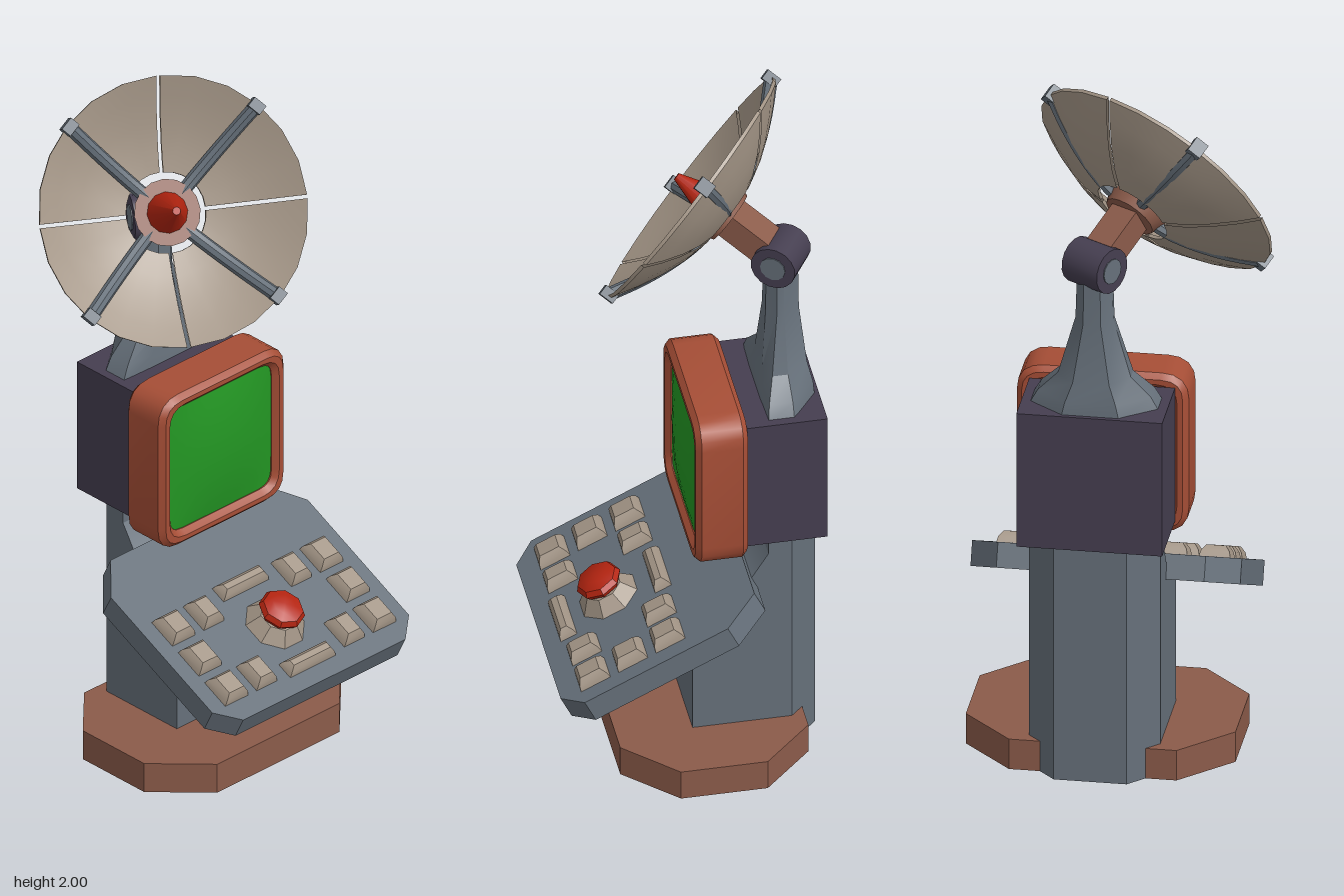
import * as THREE from 'three';
import { toCreasedNormals } from 'three/addons/utils/BufferGeometryUtils.js';

const CX = 0.05; // centre line of the console

function paint(name, color, side = THREE.FrontSide) {
  const m = new THREE.MeshStandardMaterial({ color, side });
  m.name = name;
  return m;
}

function add(parent, name, geo, mat, x = 0, y = 0, z = 0) {
  const mesh = new THREE.Mesh(toCreasedNormals(geo, 0.5), mat);
  mesh.name = name;
  mesh.position.set(x, y, z);
  parent.add(mesh);
  return mesh;
}

// Outline given as right-half (x, z) points from back to front, mirrored and raised by h
function slab(half, h) {
  const pts = [...half, ...half.map(([x, z]) => [-x, z]).reverse()];
  const shape = new THREE.Shape(pts.map(([x, z]) => new THREE.Vector2(x, -z)));
  return new THREE.ExtrudeGeometry(shape, { depth: h, bevelEnabled: false }).rotateX(-Math.PI / 2);
}

function roundedSquare(path, w, h, r) {
  const x = w / 2, y = h / 2;
  path.moveTo(-x + r, -y);
  path.lineTo(x - r, -y).quadraticCurveTo(x, -y, x, -y + r);
  path.lineTo(x, y - r).quadraticCurveTo(x, y, x - r, y);
  path.lineTo(-x + r, y).quadraticCurveTo(-x, y, -x, y - r);
  path.lineTo(-x, -y + r).quadraticCurveTo(-x, -y, -x + r, -y);
  return path;
}

// Key cap standing on y = 0 that narrows towards the top
function keyCap(w, h, d) {
  const geo = new THREE.BoxGeometry(w, h, d, 1, 2, 1).translate(0, h / 2, 0);
  const p = geo.attributes.position;
  for (let i = 0; i < p.count; i++) {
    const inset = p.getY(i) > h * 0.9 ? 0.016 : p.getY(i) > h * 0.4 ? 0.004 : 0;
    p.setX(i, p.getX(i) - Math.sign(p.getX(i)) * inset);
    p.setZ(i, p.getZ(i) - Math.sign(p.getZ(i)) * inset);
  }
  return geo;
}

// Closed skin through rings of equal point count, listed from bottom to top
function loft(rings) {
  const n = rings[0].length, index = [];
  for (let r = 0; r < rings.length - 1; r++) {
    for (let i = 0; i < n; i++) {
      const a = r * n + i, b = r * n + (i + 1) % n;
      index.push(a, a + n, b, b, a + n, b + n);
    }
  }
  const top = (rings.length - 1) * n;
  for (let i = 1; i < n - 1; i++) index.push(top, top + i + 1, top + i);
  const geo = new THREE.BufferGeometry();
  geo.setAttribute('position', new THREE.Float32BufferAttribute(rings.flat(2), 3));
  geo.setIndex(index);
  return geo;
}

export function createModel() {
  const model = new THREE.Group();
  model.name = 'radarConsole';
  const steel = paint('steel grey', 0x66707a);
  const brown = paint('brown', 0x8b5b4a);
  const rust = paint('rust orange', 0xa64e36);
  const dark = paint('dark purple', 0x453e50);
  const cream = paint('beige', 0xa39586, THREE.DoubleSide);
  const red = paint('red', 0xb32410);
  const green = paint('screen green', 0x239623);

  // Base and pedestal
  add(model, 'base', slab([[0.23, -0.26], [0.37, -0.12], [0.37, 0.12], [0.23, 0.26]], 0.09), brown, CX, 0, -0.06);
  add(model, 'pedestalBack', slab([[0.1, -0.365], [0.18, -0.285], [0.18, -0.28]], 0.71), steel, CX);
  const side = new THREE.Shape([[-0.28, 0], [-0.01, 0], [-0.01, 0.47], [-0.17, 0.57], [-0.22, 0.65], [-0.22, 0.71], [-0.28, 0.71]]
    .map(([z, y]) => new THREE.Vector2(z, y)));
  add(model, 'pedestalFront', new THREE.ExtrudeGeometry(side, { depth: 0.36, bevelEnabled: false })
    .rotateY(-Math.PI / 2), steel, CX + 0.18);

  // Sloping control panel; its origin is the front edge of the top face
  const panel = new THREE.Group();
  panel.name = 'controlPanel';
  panel.position.set(CX, 0.34, 0.38);
  panel.rotation.x = 0.453;
  model.add(panel);
  add(panel, 'panelBoard', slab([[0.285, -0.6], [0.37, -0.5], [0.37, -0.06], [0.305, 0]], 0.07), steel, 0, -0.07);
  for (const s of [-1, 1]) {
    for (const z of [-0.105, -0.22, -0.335]) add(panel, 'outerKey', keyCap(0.086, 0.032, 0.09), cream, s * 0.278, 0, z);
    for (const z of [-0.105, -0.335]) add(panel, 'innerKey', keyCap(0.076, 0.032, 0.09), cream, s * 0.165, 0, z);
  }
  for (const z of [-0.075, -0.365]) add(panel, 'barKey', keyCap(0.17, 0.028, 0.05), cream, 0, 0, z);
  add(panel, 'joystickBase', new THREE.CylinderGeometry(0.055, 0.088, 0.04, 8).rotateY(Math.PI / 8), cream, 0, 0.02, -0.215);
  add(panel, 'joystickKnob', new THREE.SphereGeometry(0.066, 8, 6).scale(1, 0.45, 1), red, 0, 0.062, -0.215);

  // Monitor
  add(model, 'monitorBody', new THREE.BoxGeometry(0.4, 0.4, 0.225), dark, CX, 0.9, -0.267);
  const frame = roundedSquare(new THREE.Shape(), 0.442, 0.445, 0.06);
  frame.holes.push(roundedSquare(new THREE.Path(), 0.42, 0.425, 0.06));
  // The hole outline must stay inside the frame, so the lip is cut separately by the bevel
  frame.holes[0] = roundedSquare(new THREE.Path(), 0.412, 0.417, 0.06);
  add(model, 'monitorFrame', new THREE.ExtrudeGeometry(frame, {
    depth: 0.115, bevelThickness: 0.015, bevelSize: 0.015, bevelSegments: 1, curveSegments: 4,
  }), rust, CX, 0.898, -0.14);
  const screen = new THREE.PlaneGeometry(0.4, 0.405, 8, 8);
  const sp = screen.attributes.position;
  for (let i = 0; i < sp.count; i++) {
    const u = sp.getX(i) / 0.2, v = sp.getY(i) / 0.2025;
    sp.setZ(i, 0.024 * (1 - u * u) * (1 - v * v));
  }
  add(model, 'screen', screen, green, CX, 0.898, -0.029);

  // Flared neck: flat front, chamfered back, narrowing upwards
  const ring = (y, w, b, zf, zb, cut) => {
    const zm = zf + (zb - zf) * 0.5;
    const f = zf + (zb - zf) * cut;
    return [[w, y, zm], [w, y, f], [b, y, zf], [-b, y, zf], [-w, y, f], [-w, y, zm], [-b, y, zb], [b, y, zb]];
  };
  add(model, 'neck', loft([
    ring(1.09, 0.18, 0.08, -0.217, -0.368, 0.02),
    ring(1.135, 0.155, 0.07, -0.22, -0.365, 0.05),
    ring(1.19, 0.1, 0.05, -0.228, -0.352, 0.15),
    ring(1.36, 0.052, 0.024, -0.243, -0.335, 0.28),
    ring(1.52, 0.047, 0.022, -0.245, -0.333, 0.28),
  ]), steel, CX);

  // Antenna: local y is the aiming axis, local x the hinge
  const antenna = new THREE.Group();
  antenna.name = 'antenna';
  antenna.position.set(CX, 1.52, -0.29);
  antenna.rotation.set(1.007, -0.552, 0, 'YXZ');
  model.add(antenna);
  add(antenna, 'hinge', new THREE.CylinderGeometry(0.064, 0.064, 0.125, 16).rotateZ(Math.PI / 2), dark);
  add(antenna, 'hingePin', new THREE.CylinderGeometry(0.036, 0.036, 0.131, 12).rotateZ(Math.PI / 2), steel);
  add(antenna, 'arm', new THREE.BoxGeometry(0.085, 0.15, 0.08), brown, 0, 0.105, 0);
  add(antenna, 'hub', new THREE.CylinderGeometry(0.092, 0.075, 0.045, 16), brown, 0, 0.195, 0);
  add(antenna, 'feedCone', new THREE.CylinderGeometry(0.011, 0.057, 0.14, 12), red, 0, 0.287, 0);

  // Four dish petals with narrow gaps, each carried by a curved strut
  const curve = [[0.105, 0.197], [0.17, 0.214], [0.24, 0.242], [0.31, 0.278], [0.366, 0.312]];
  const outline = [...curve, ...curve.map(([r, y]) => [r, y - 0.01]).reverse(), curve[0]]
    .map(([r, y]) => new THREE.Vector2(r, y));
  const strutLine = [[0.06, 0.198], [0.12, 0.206], [0.2, 0.23], [0.28, 0.264], [0.368, 0.312]];
  for (let k = 0; k < 4; k++) {
    const mid = (k + 0.5) * Math.PI / 2, sx = Math.sin(mid), cz = Math.cos(mid);
    add(antenna, 'dishPetal', new THREE.LatheGeometry(outline, 6, k * Math.PI / 2, Math.PI / 2),
      cream, sx * 0.007, 0, cz * 0.007);
    const path = new THREE.CatmullRomCurve3(strutLine.map(([r, y]) => new THREE.Vector3(r * sx, y, r * cz)));
    add(antenna, 'strut', new THREE.TubeGeometry(path, 10, 0.019, 8), steel);
    const cap = add(antenna, 'strutCap', new THREE.BoxGeometry(0.04, 0.044, 0.03), steel, sx * 0.366, 0.311, cz * 0.366);
    cap.rotation.y = mid;
  }
  return model;
}
